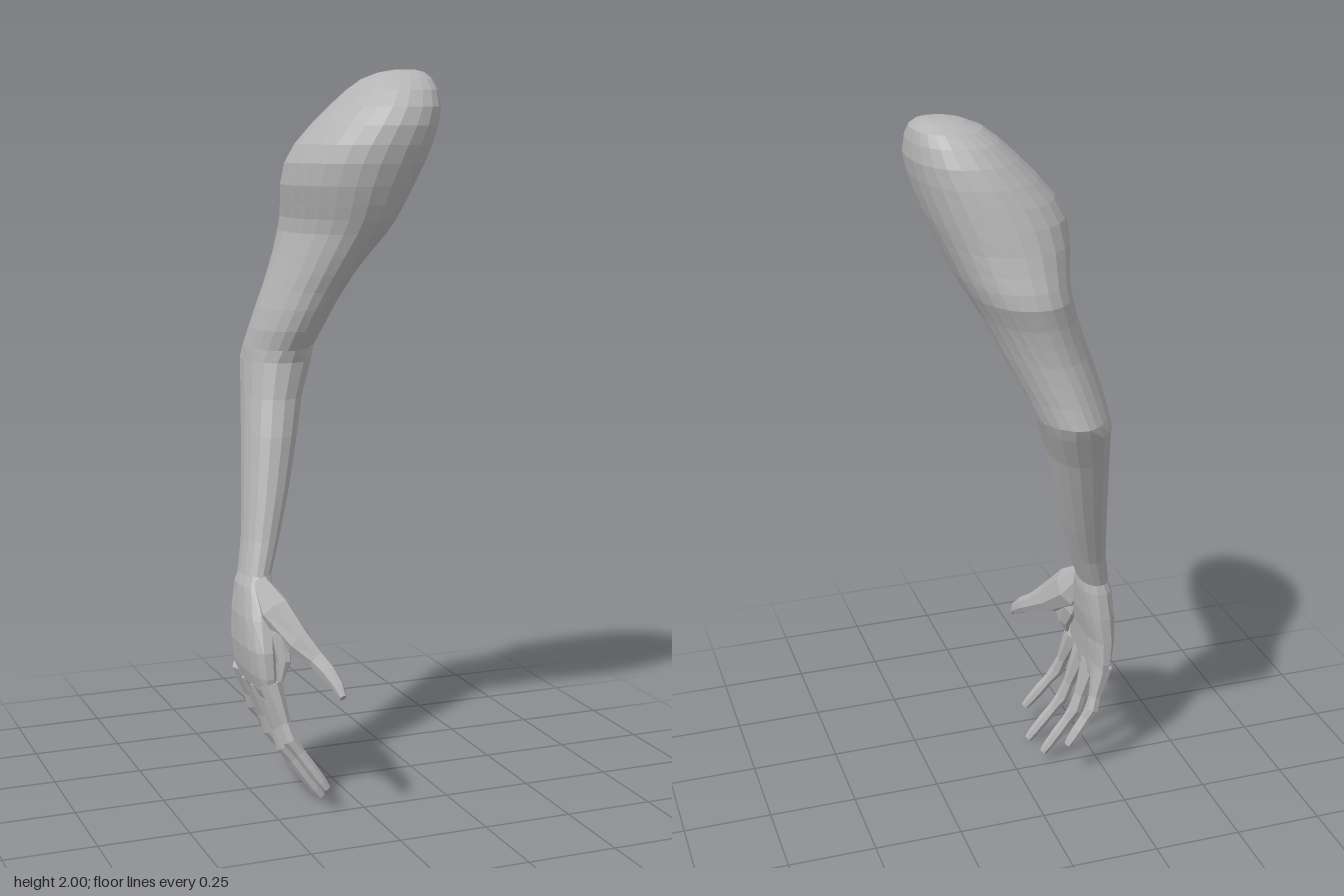
import * as THREE from 'three';

const skin = new THREE.MeshStandardMaterial({ color: 0xb4b4b4, flatShading: true });
skin.name = 'greySkin';

// Skin a list of rings (each an array of Vector3) and close both ends.
function loft(rings) {
  const n = rings[0].length;
  const pos = [], idx = [];
  rings.flat().forEach(p => pos.push(p.x, p.y, p.z));
  for (let r = 0; r < rings.length - 1; r++) {
    for (let i = 0; i < n; i++) {
      const j = (i + 1) % n;
      const a = r * n + i, b = r * n + j, c = a + n, d = b + n;
      idx.push(a, b, c, b, d, c);
    }
  }
  [0, rings.length - 1].forEach((r, end) => {
    const c = new THREE.Vector3();
    rings[r].forEach(p => c.addScaledVector(p, 1 / n));
    const k = pos.length / 3;
    pos.push(c.x, c.y, c.z);
    for (let i = 0; i < n; i++) {
      const a = r * n + i, b = r * n + (i + 1) % n;
      if (end === 0) idx.push(k, b, a); else idx.push(k, a, b);
    }
  });
  const g = new THREE.BufferGeometry();
  g.setAttribute('position', new THREE.Float32BufferAttribute(pos, 3));
  g.setIndex(idx);
  const flat = g.toNonIndexed();
  flat.computeVertexNormals();
  return flat;
}

// Level ring from [y, xMin, xMax, zMin, zMax]. Lower powers are boxier, set apart
// for the inner (+x) and outer (-x) halves; groove dents the inner front.
function levelRing([y, x0, x1, z0, z1], sides, { inner = 1, outer = inner, skew = 0, groove = 0 }) {
  return Array.from({ length: sides }, (_, i) => {
    const t = i / sides * Math.PI * 2;
    const soft = v => Math.sign(v) * Math.abs(v) ** (Math.cos(t) > 0 ? inner : outer);
    const dip = 1 - groove * Math.max(0, Math.cos(t - 0.6)) ** 14;
    return new THREE.Vector3(
      (x0 + x1) / 2 + (x1 - x0) / 2 * soft(Math.cos(t)) * dip, y,
      (z0 + z1) / 2 + (z1 - z0) / 2 * soft(Math.sin(t + skew)) * dip);
  });
}

// Jointed digit: rows of [x, y, z, radius], rings square to the path.
function digit(rows, sides, flatten) {
  const pts = rows.map(r => new THREE.Vector3(r[0], r[1], r[2]));
  return loft(pts.map((p, k) => {
    const d = pts[Math.min(k + 1, pts.length - 1)].clone().sub(pts[Math.max(k - 1, 0)]).normalize();
    const u = new THREE.Vector3(1, 0, 0).addScaledVector(d, -d.x).normalize();
    const v = d.clone().cross(u);
    return Array.from({ length: sides }, (_, i) => {
      const t = (i + 0.5) / sides * Math.PI * 2, r = rows[k][3];
      return p.clone().addScaledVector(u, r * flatten * Math.cos(t)).addScaledVector(v, r * Math.sin(t));
    });
  }));
}

export function createModel() {
  const model = new THREE.Group();
  model.name = 'arm';
  const add = (name, geometry) => {
    const m = new THREE.Mesh(geometry, skin);
    m.name = name;
    model.add(m);
  };

  // Shoulder dome and upper arm, down to the pointed elbow
  const elbow = [1.235, -0.19, 0.015, -0.34, -0.043];
  const upper = [
    [2.0, 0.185, 0.24, -0.015, 0.03],
    [1.993, 0.145, 0.265, -0.055, 0.06],
    [1.975, 0.1, 0.28, -0.1, 0.1],
    [1.945, 0.06, 0.287, -0.137, 0.14],
    [1.9, 0.012, 0.29, -0.17, 0.172],
    [1.85, -0.037, 0.281, -0.195, 0.186],
    [1.8, -0.078, 0.267, -0.215, 0.185],
    [1.75, -0.102, 0.25, -0.233, 0.177],
    [1.69, -0.108, 0.225, -0.252, 0.16],
    [1.64, -0.1, 0.204, -0.27, 0.142],
    [1.6, -0.094, 0.187, -0.286, 0.125],
    [1.56, -0.096, 0.167, -0.298, 0.105],
    [1.5, -0.112, 0.135, -0.291, 0.075],
    [1.45, -0.128, 0.112, -0.291, 0.05],
    [1.4, -0.145, 0.09, -0.295, 0.025],
    [1.35, -0.162, 0.066, -0.306, 0.007],
    [1.29, -0.179, 0.038, -0.322, -0.016],
    elbow,
  ];
  add('upperArm', loft(upper.map(r => {
    const low = THREE.MathUtils.smoothstep(1.6 - r[0], 0, 0.36);
    return levelRing(r, 24, {
      inner: 0.84 + 0.3 * low,
      outer: 1 + 0.1 * low,
      skew: 0.14 - 0.26 * low,
      groove: 0.13 * Math.max(0, 1 - Math.abs(r[0] - 1.42) / 0.15),
    });
  })));

  // Forearm, tapering to the wrist
  const fore = [
    elbow,
    [1.2, -0.193, 0, -0.325, -0.052],
    [1.1, -0.203, -0.038, -0.277, -0.04],
    [1.0, -0.215, -0.065, -0.235, -0.012],
    [0.85, -0.233, -0.107, -0.17, 0.02],
    [0.72, -0.25, -0.15, -0.112, 0.045],
    [0.63, -0.268, -0.183, -0.085, 0.066],
  ];
  add('forearm', loft(fore.map((r, i) =>
    levelRing(r, 16, { inner: i ? 0.92 : 1.1, skew: i ? -0.05 : -0.12 }))));

  // Palm, widening from the wrist to the knuckles
  const palm = [
    [0.645, -0.255, -0.19, -0.075, 0.055],
    [0.6, -0.275, -0.185, -0.087, 0.078],
    [0.52, -0.286, -0.19, -0.097, 0.13],
    [0.44, -0.287, -0.205, -0.1, 0.168],
    [0.37, -0.277, -0.21, -0.1, 0.178],
    [0.33, -0.265, -0.212, -0.092, 0.174],
    [0.305, -0.252, -0.215, -0.082, 0.165],
  ];
  add('palm', loft(palm.map(r => levelRing(r, 14, { inner: 0.8 }))));

  // Thumb with its broad base, reaching forward, and the web that ties it to the palm
  add('thumb', digit([
    [-0.23, 0.61, 0.045, 0.03], [-0.205, 0.535, 0.105, 0.062], [-0.165, 0.465, 0.185, 0.046],
    [-0.132, 0.428, 0.235, 0.03], [-0.113, 0.402, 0.275, 0.026], [-0.1, 0.373, 0.31, 0.02],
    [-0.096, 0.35, 0.335, 0.012],
  ], 8, 0.8));
  add('thumbWeb', digit([
    [-0.225, 0.58, 0.07, 0.03], [-0.205, 0.48, 0.125, 0.06],
    [-0.2, 0.41, 0.155, 0.042], [-0.21, 0.36, 0.16, 0.015],
  ], 8, 0.45));

  // Fingers: base, middle joint and tip as [x, y, z]
  const fingers = {
    indexFinger: [[-0.235, 0.35, 0.15], [-0.198, 0.2, 0.2], [-0.105, 0.063, 0.237]],
    middleFinger: [[-0.24, 0.34, 0.08], [-0.187, 0.155, 0.115], [-0.085, 0.006, 0.143]],
    ringFinger: [[-0.24, 0.34, 0.008], [-0.188, 0.17, 0.01], [-0.095, 0.025, 0.03]],
    littleFinger: [[-0.243, 0.35, -0.062], [-0.207, 0.22, -0.08], [-0.135, 0.106, -0.076]],
  };
  for (const [name, [base, joint, tip]] of Object.entries(fingers)) {
    const mix = (a, b, f, r) => [...a.map((v, i) => v + (b[i] - v) * f), r];
    add(name, digit([
      mix(base, joint, 0, 0.034), mix(base, joint, 0.3, 0.028), mix(base, joint, 0.7, 0.019),
      mix(base, joint, 1, 0.022), mix(joint, tip, 0.25, 0.017), mix(joint, tip, 0.55, 0.018),
      mix(joint, tip, 0.85, 0.016), mix(joint, tip, 1, 0.012),
    ], 7, 0.95));
  }
  return model;
}
